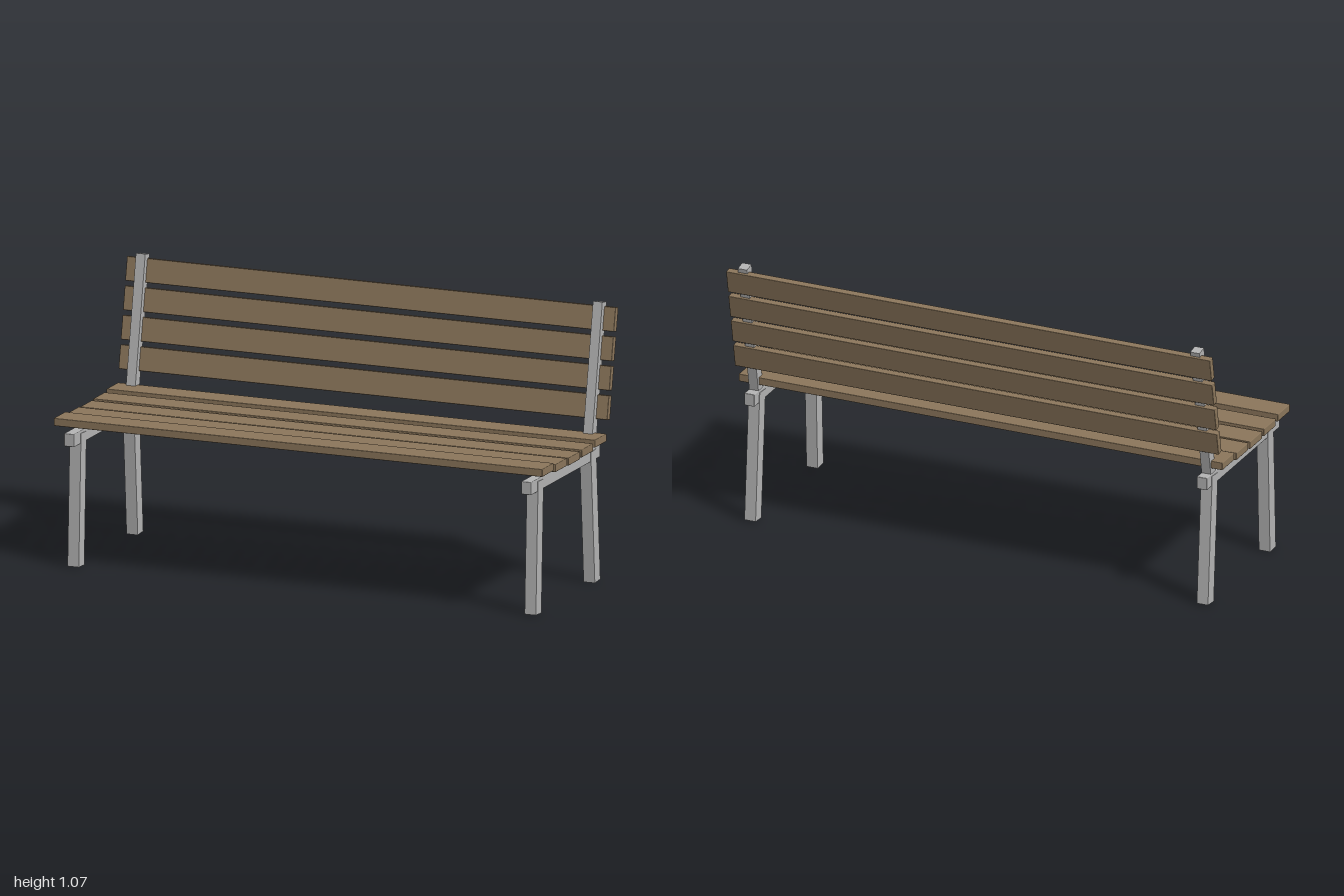
import * as THREE from 'three';
import { RoundedBoxGeometry } from 'three/addons/geometries/RoundedBoxGeometry.js';

export function createModel() {
  const bench = new THREE.Group();
  bench.name = 'bench';

  const wood = new THREE.MeshStandardMaterial({ color: 0x8b765b });
  wood.name = 'wood';
  const metal = new THREE.MeshStandardMaterial({ color: 0xb4b4b4 });
  metal.name = 'metal';

  const add = (name, geometry, material, x, y, z, tilt = 0) => {
    const mesh = new THREE.Mesh(geometry, material);
    mesh.name = name;
    mesh.position.set(x, y, z);
    mesh.rotation.x = tilt;
    bench.add(mesh);
  };

  // Straight bar between two [y, z] points at a given x
  const bar = (name, x, bottom, top, width, depth) => {
    const dy = top[0] - bottom[0];
    const dz = top[1] - bottom[1];
    const geometry = new THREE.BoxGeometry(width, Math.hypot(dy, dz), depth);
    add(name, geometry, metal, x, (top[0] + bottom[0]) / 2, (top[1] + bottom[1]) / 2, Math.atan2(dz, dy));
  };

  // Seat slats, dipping slightly toward the middle: [y, z]
  const seatSlat = new RoundedBoxGeometry(2, 0.03, 0.109, 1, 0.003);
  [[0.565, 0.305], [0.555, 0.179], [0.552, 0.055], [0.555, -0.068], [0.564, -0.194]]
    .forEach(([y, z], i) => add(`seatSlat${i + 1}`, seatSlat, wood, 0, y, z));

  // Back slats, stepped up the reclined posts
  const backSlat = new RoundedBoxGeometry(2, 0.092, 0.028, 1, 0.003);
  for (let i = 0; i < 4; i++) {
    add(`backSlat${i + 1}`, backSlat, wood, 0, 0.673 + i * 0.109, -0.276 - i * 0.021, -0.19);
  }

  // Side frames: rail, two splayed legs and a back post on each side
  const rail = new RoundedBoxGeometry(0.042, 0.05, 0.655, 1, 0.003);
  for (const [side, s] of [['left', 1], ['right', -1]]) {
    const x = s * 0.935;
    add(`${side}SeatRail`, rail, metal, x, 0.501, 0.035);
    bar(`${side}FrontLeg`, x, [0.002, 0.297], [0.515, 0.276], 0.046, 0.052);
    bar(`${side}RearLeg`, x, [0.002, -0.26], [0.515, -0.222], 0.046, 0.052);
    bar(`${side}BackPost`, x, [0.49, -0.224], [1.065, -0.334], 0.038, 0.041);
  }

  return bench;
}
